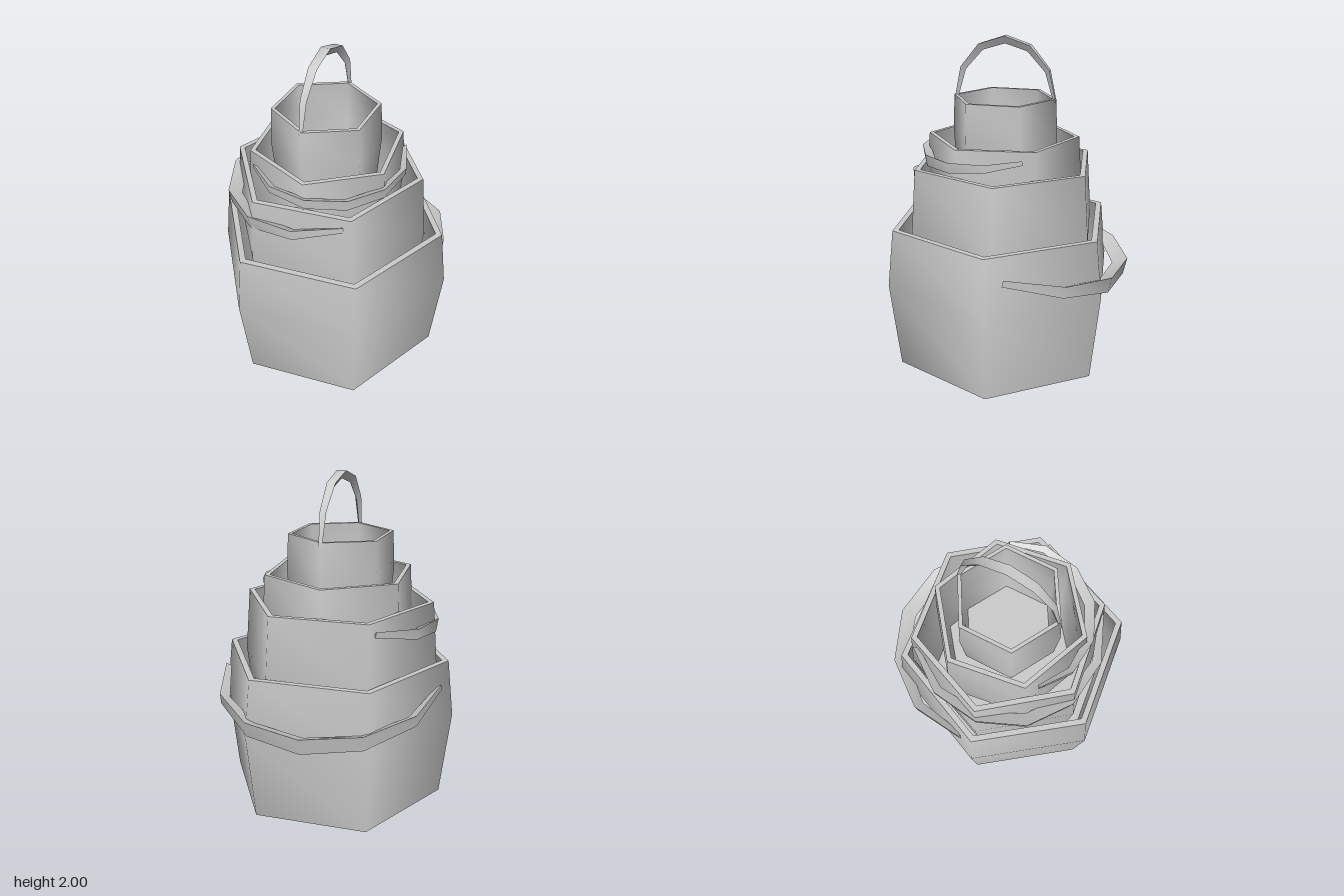
import * as THREE from 'three';
import { toCreasedNormals } from 'three/addons/utils/BufferGeometryUtils.js';

const material = new THREE.MeshStandardMaterial({ color: 0xcccccc });

// Open six-sided bucket: bulging outer wall, flat rim, inner wall and floor
function makeBucket({ x, z, turn, wall, outer }) {
  const inner = outer.map(([r, y], i) => [r - wall, i === 0 ? y + wall : y]).reverse();
  const profile = [[0, outer[0][1]], ...outer, ...inner, [0, outer[0][1] + wall]];
  const lathe = new THREE.LatheGeometry(profile.map(([r, y]) => new THREE.Vector2(r, y)), 6);
  const mesh = new THREE.Mesh(toCreasedNormals(lathe, 1.2), material);
  mesh.position.set(x, 0, z);
  mesh.rotation.y = turn;
  return mesh;
}

// Half-ring handle with a triangular section: flat outside, ridge inside, tapered ends
function makeHandle({ centre, end, middle, width }) {
  const c = new THREE.Vector3(...centre);
  const ax = new THREE.Vector3(...end).sub(c);
  const ay = new THREE.Vector3(...middle).sub(c);
  const R = ax.length(), H = ay.length();
  const segments = 6, points = [], index = [];
  for (let i = 0; i <= segments; i++) {
    const a = (i / segments) * Math.PI;
    const cos = Math.cos(a), sin = Math.sin(a);
    const s = 0.4 + 0.65 * sin;
    const half = (width / 2) * s, depth = width * 0.8 * s;
    points.push(R * cos, H * sin, half, R * cos, H * sin, -half);
    points.push((R - depth) * cos, (H - depth) * sin, 0);
  }
  for (let i = 0; i < segments; i++) {
    for (let k = 0; k < 3; k++) {
      const n = (k + 1) % 3, p = i * 3, q = p + 3;
      index.push(p + k, p + n, q + n, p + k, q + n, q + k);
    }
  }
  const last = segments * 3;
  index.push(2, 1, 0, last, last + 1, last + 2);

  const geometry = new THREE.BufferGeometry();
  geometry.setAttribute('position', new THREE.Float32BufferAttribute(points, 3));
  geometry.setIndex(index);
  const mesh = new THREE.Mesh(toCreasedNormals(geometry, 1), material);

  // Stand the arch in the plane given by its end and middle
  ax.normalize();
  const az = ax.clone().cross(ay).normalize();
  const up = az.clone().cross(ax);
  mesh.quaternion.setFromRotationMatrix(new THREE.Matrix4().makeBasis(ax, up, az));
  mesh.position.copy(c);
  return mesh;
}

export function createModel() {
  const model = new THREE.Group();
  model.name = 'nestedBuckets';

  // Buckets from largest to smallest; outer holds [radius, height] pairs
  const buckets = {
    largeBucket: {
      x: -0.03, z: 0.03, turn: -0.022, wall: 0.04,
      outer: [[0.68, 0], [0.74, 0.54], [0.70, 0.89]],
    },
    mediumBucket: {
      x: -0.04, z: 0.005, turn: 0, wall: 0.035,
      outer: [[0.56, 0.4], [0.607, 0.86], [0.575, 1.25]],
    },
    smallBucket: {
      x: -0.043, z: 0.012, turn: Math.PI / 6, wall: 0.03,
      outer: [[0.44, 0.75], [0.475, 1.15], [0.457, 1.41]],
    },
    tinyBucket: {
      x: -0.05, z: 0.003, turn: 0.39, wall: 0.024,
      outer: [[0.3, 1.12], [0.325, 1.41], [0.315, 1.64]],
    },
  };

  // Handles: three hang down against the sides, the top one stands upright
  const handles = {
    largeHandle: { centre: [0.03, 0.75, -0.05], end: [0.62, 0.75, 0.3], middle: [0.38, 0.6, -0.63], width: 0.1 },
    mediumHandle: { centre: [-0.08, 1.185, 0], end: [-0.08, 1.185, 0.57], middle: [-0.64, 1.095, 0], width: 0.088 },
    smallHandle: { centre: [-0.045, 1.355, 0.09], end: [0.41, 1.355, 0.09], middle: [-0.045, 1.3, 0.505], width: 0.066 },
    tinyHandle: { centre: [-0.05, 1.62, 0], end: [0.145, 1.62, -0.245], middle: [-0.05, 2, 0], width: 0.055 },
  };

  for (const [name, spec] of Object.entries(buckets)) {
    const bucket = makeBucket(spec);
    bucket.name = name;
    model.add(bucket);
  }
  for (const [name, spec] of Object.entries(handles)) {
    const handle = makeHandle(spec);
    handle.name = name;
    model.add(handle);
  }
  return model;
}
